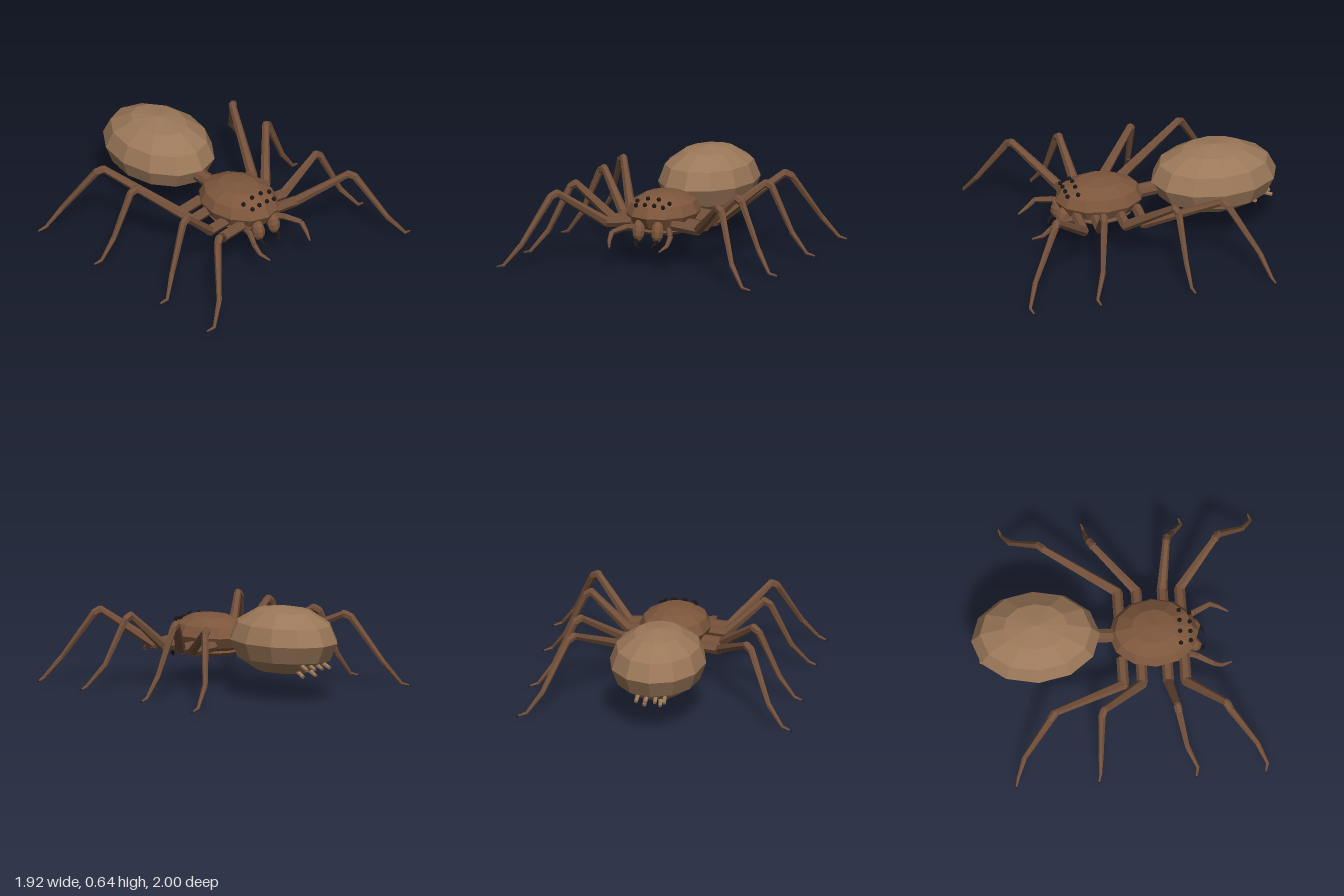
import * as THREE from 'three';

const mat = (color) => new THREE.MeshStandardMaterial({ color, flatShading: true, roughness: 0.9 });
const V = (p) => new THREE.Vector3(...p);

export function createModel() {
  const model = new THREE.Group();
  model.name = 'spider';
  const tan = mat(0x9c7859);
  const brown = mat(0x7d563c);
  const legBrown = mat(0x73503a);
  const dark = mat(0x1c1716);

  // Low-poly ellipsoid
  function blob(name, parent, material, pos, radii, sides = 12, rings = 6) {
    const mesh = new THREE.Mesh(new THREE.SphereGeometry(1, sides, rings).scale(...radii), material);
    mesh.position.set(...pos);
    mesh.name = name;
    parent.add(mesh);
    return mesh;
  }

  // Tapered prism between two points
  function limb(name, parent, material, a, b, ra, rb, sides = 6) {
    const from = V(a), dir = V(b).sub(from);
    const geo = new THREE.CylinderGeometry(rb, ra, dir.length(), sides);
    const mesh = new THREE.Mesh(geo, material);
    mesh.position.copy(from).addScaledVector(dir, 0.5);
    mesh.quaternion.setFromUnitVectors(new THREE.Vector3(0, 1, 0), dir.normalize());
    mesh.name = name;
    parent.add(mesh);
    return mesh;
  }

  // Body
  blob('abdomen', model, tan, [0, 0.4, -0.555], [0.335, 0.24, 0.445]);
  blob('carapace', model, brown, [0, 0.345, 0.26], [0.25, 0.145, 0.31]);
  blob('sternum', model, legBrown, [0, 0.235, 0.26], [0.2, 0.045, 0.23]);
  limb('waist', model, legBrown, [0, 0.34, 0.03], [0, 0.36, -0.18], 0.05, 0.05, 8);

  for (const s of [-1, 1]) {
    const side = s > 0 ? 'left' : 'right';
    const m = ([x, y, z]) => [x * s, y, z];

    // Eyes in two rows
    [[0.04, 0.462, 0.44], [0.12, 0.44, 0.44], [0.035, 0.432, 0.51], [0.1, 0.425, 0.51]]
      .forEach((p, i) => blob(`${side}Eye${i + 1}`, model, dark, m(p), [0.016, 0.016, 0.016], 8, 6));

    // Jaws with curved fangs
    const jaw = blob(`${side}Jaw`, model, brown, m([0.07, 0.255, 0.535]), [0.044, 0.078, 0.05], 8, 6);
    jaw.rotation.x = -0.2;
    limb(`${side}FangBase`, model, dark, m([0.075, 0.2, 0.56]), m([0.072, 0.168, 0.6]), 0.016, 0.012);
    limb(`${side}FangTip`, model, dark, m([0.072, 0.17, 0.597]), m([0.04, 0.148, 0.612]), 0.012, 0.002);

    // Feelers beside the jaws
    const palp = [[0.11, 0.25, 0.43], [0.16, 0.272, 0.55], [0.218, 0.255, 0.66], [0.215, 0.205, 0.715], [0.185, 0.175, 0.785]];
    const palpR = [0.026, 0.022, 0.018, 0.014, 0.006];
    for (let i = 0; i < 4; i++) {
      limb(`${side}Feeler${i + 1}`, model, legBrown, m(palp[i]), m(palp[i + 1]), palpR[i], palpR[i + 1]);
    }

    // Spinnerets under the rear of the abdomen
    for (const x of [0.03, 0.09]) {
      limb(`${side}RearSpinneret`, model, tan, m([x, 0.275, -0.85]), m([x * 1.1, 0.24, -0.945]), 0.017, 0.013);
    }
    limb(`${side}FrontSpinneret`, model, tan, m([0.05, 0.215, -0.76]), m([0.055, 0.178, -0.845]), 0.017, 0.013);

    // Legs share x and y at each joint; only z differs
    const xy = [[0.15, 0.295], [0.34, 0.275], [0.6, 0.51], [0.64, 0.485], [0.785, 0.17], [0.89, 0.03], [0.945, 0.013]];
    const legZ = [
      [0.46, 0.46, 0.72, 0.745, 0.92, 0.985, 0.97],
      [0.34, 0.34, 0.385, 0.392, 0.44, 0.505, 0.492],
      [0.16, 0.16, -0.12, -0.14, -0.155, -0.165, -0.18],
      [0.03, 0.03, -0.46, -0.495, -0.68, -0.735, -0.75],
    ];
    const bones = [
      ['hip', 0.038, 0.038], ['thigh', 0.036, 0.025], ['knee', 0.029, 0.027],
      ['shin', 0.026, 0.018], ['ankle', 0.019, 0.011], ['foot', 0.011, 0.006],
    ];
    legZ.forEach((zs, n) => {
      const leg = new THREE.Group();
      leg.name = `${side}Leg${n + 1}`;
      const pts = xy.map(([x, y], i) => m([x, y, zs[i]]));
      bones.forEach(([name, ra, rb], i) => limb(name, leg, legBrown, pts[i], pts[i + 1], ra, rb));
      // Joint caps close the gaps at the bends
      [0.036, 0.027, 0.026, 0.018, 0.011].forEach((r, i) =>
        blob('joint', leg, legBrown, pts[i + 1], [r, r, r], 6, 4));
      // Two small claws
      for (const d of [-1, 1]) {
        const [x, y, z] = pts[6];
        limb('claw', leg, dark, pts[6], [x + s * 0.014, y - 0.009, z + d * 0.009], 0.004, 0.001, 4);
      }
      model.add(leg);
    });
  }
  return model;
}
